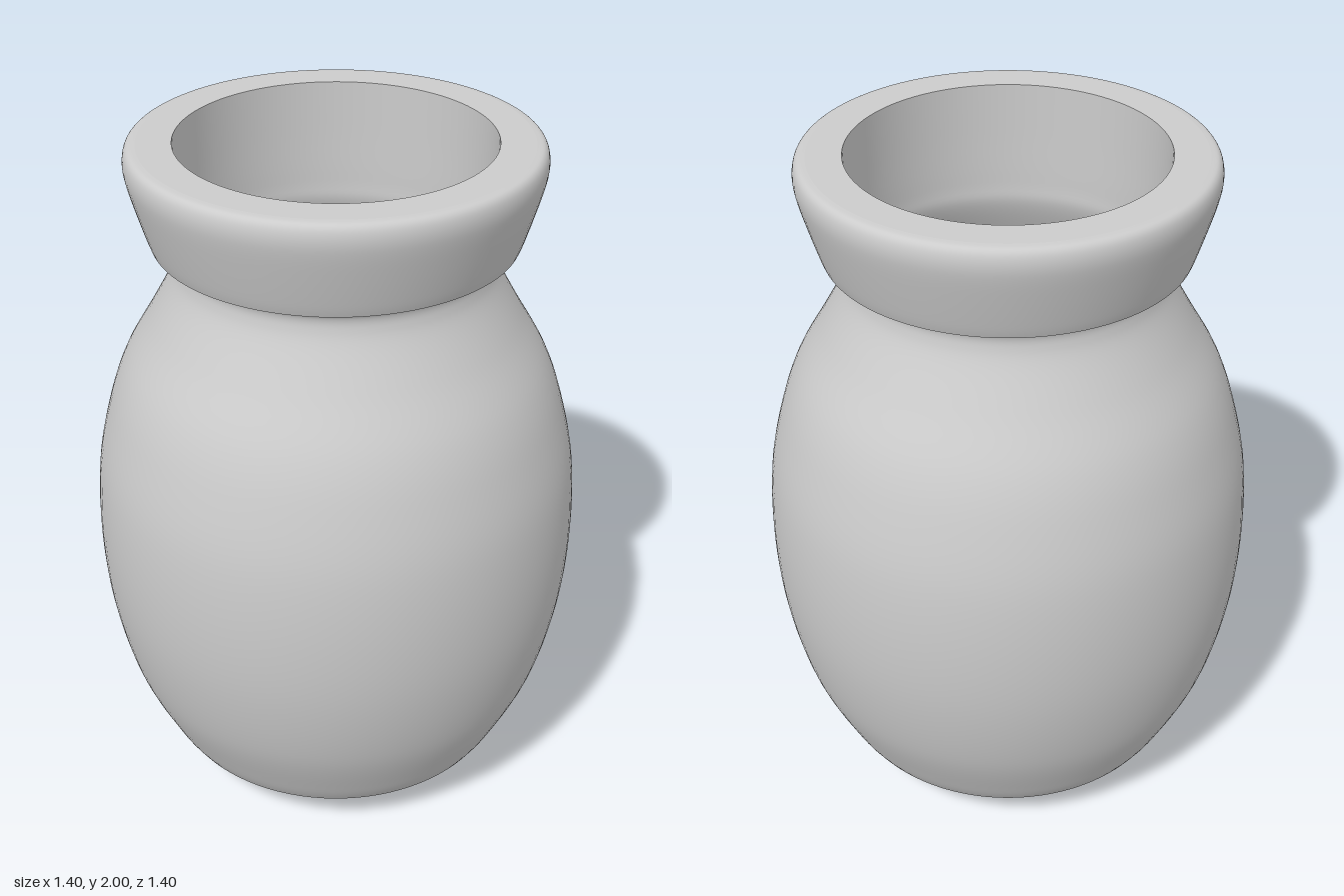
import * as THREE from 'three';

const material = new THREE.MeshStandardMaterial({ color: 0xcccccc, side: THREE.DoubleSide });

// Smooth curve through [radius, height] points
function smooth(points, steps) {
  const curve = new THREE.SplineCurve(points.map(([r, y]) => new THREE.Vector2(r, y)));
  return curve.getPoints(steps).map((p) => new THREE.Vector2(Math.max(p.x, 0), p.y));
}

function turned(name, profile) {
  const mesh = new THREE.Mesh(new THREE.LatheGeometry(profile, 96), material);
  mesh.name = name;
  return mesh;
}

export function createModel() {
  const jar = new THREE.Group();
  jar.name = 'jar';

  // Slightly domed underside and stepped foot
  jar.add(turned('foot', smooth([
    [0, 0], [0.2, 0.008], [0.34, 0.02], [0.38, 0.03], [0.425, 0.055],
    [0.445, 0.075], [0.47, 0.09], [0.492, 0.11], [0.515, 0.13],
  ], 40)));

  // Swelling body that narrows to the neck
  jar.add(turned('body', smooth([
    [0.515, 0.13], [0.555, 0.2], [0.633, 0.38], [0.683, 0.6], [0.7, 0.82], [0.689, 1.04],
    [0.65, 1.22], [0.6, 1.36], [0.52, 1.5], [0.46, 1.61], [0.442, 1.66], [0.442, 1.69], [0.455, 1.708],
  ], 80)));

  // Heavy flared collar: underside, sloped side and rounded top edge
  jar.add(turned('collarUnderside', smooth([[0.455, 1.708], [0.475, 1.718], [0.505, 1.727]], 8)));
  jar.add(turned('collar', smooth([
    [0.505, 1.727], [0.517, 1.76], [0.541, 1.84], [0.56, 1.91],
    [0.566, 1.95], [0.562, 1.98], [0.55, 1.996], [0.53, 2],
  ], 40)));
  jar.add(turned('rim', [new THREE.Vector2(0.53, 2), new THREE.Vector2(0.434, 2)]));

  // Hollow interior: straight mouth, then a thin wall following the body to the floor
  jar.add(turned('interior', smooth([
    [0.434, 2], [0.434, 1.85], [0.434, 1.7], [0.44, 1.62], [0.5, 1.49], [0.578, 1.35],
    [0.628, 1.21], [0.667, 1.03], [0.678, 0.82], [0.66, 0.6], [0.61, 0.38],
    [0.53, 0.21], [0.44, 0.11], [0.3, 0.06], [0.15, 0.043], [0, 0.04],
  ], 90)));

  return jar;
}
